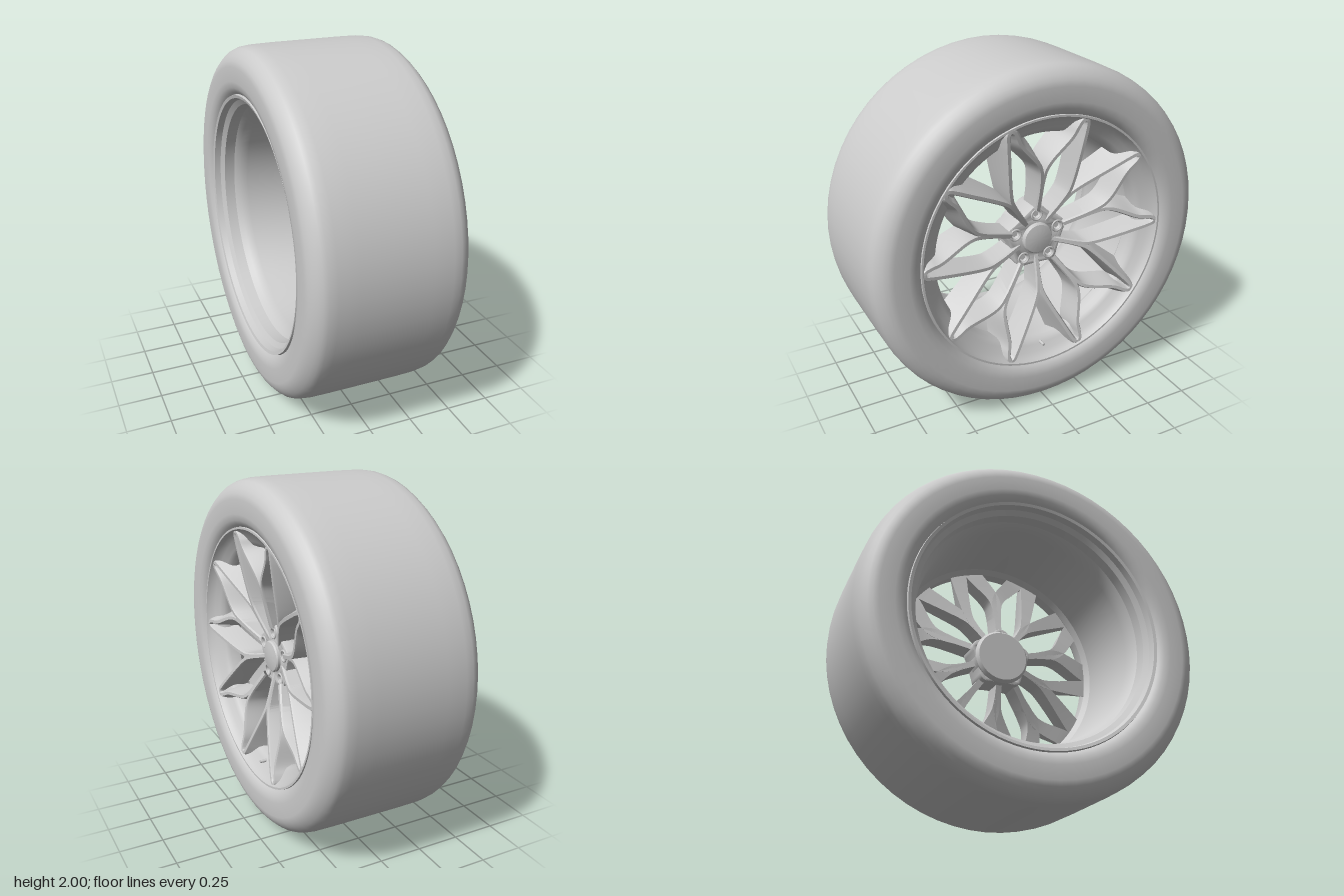
import * as THREE from 'three';
import { toCreasedNormals } from 'three/addons/utils/BufferGeometryUtils.js';

const material = new THREE.MeshStandardMaterial({ color: 0xcccccc, side: THREE.DoubleSide });
const rad = THREE.MathUtils.degToRad;
const polar = (r, deg) => new THREE.Vector2(r * Math.cos(rad(deg)), r * Math.sin(rad(deg)));

function add(parent, name, geometry) {
  const mesh = new THREE.Mesh(geometry, material);
  mesh.name = name;
  parent.add(mesh);
  return mesh;
}

// Revolve [radius, axial] pairs around the axle (local z)
function revolve(profile, segments) {
  const points = profile.map(([r, w]) => new THREE.Vector2(r, w));
  return new THREE.LatheGeometry(points, segments).rotateX(Math.PI / 2);
}

// Height of the dished spoke face at a given radius
const faceHeight = (r) => 0.255 + 0.29 * r - 0.11 * r * r;

// One spoke arm from the hub along a stem, past its fork, to the tip on the local x axis.
// side +1 / -1 chooses which of the two neighbouring stems it grows from.
function armGeometry(side, start, fork) {
  const path = new THREE.SplineCurve([
    polar(start, 17.4), polar(fork - 0.04, 17.2), polar(fork + 0.06, 13.7),
    new THREE.Vector2(0.6, 0.042), new THREE.Vector2(0.67, 0.028),
    new THREE.Vector2(0.706, 0.018), new THREE.Vector2(0.722, 0),
  ].map((p) => new THREE.Vector2(p.x, p.y * side)));
  const steps = 36, sides = 6, positions = [], index = [];
  for (let i = 0; i <= steps; i++) {
    const p = path.getPoint(i / steps), t = path.getTangent(i / steps);
    const r = p.length(), z = faceHeight(r), grow = Math.max(0, r - 0.25);
    const front = 0.015, depth = 0.14;
    const outer = 0.017 + 0.15 * grow, inner = 0.017 + 0.06 * grow;
    const plus = side > 0 ? outer : inner, minus = side > 0 ? inner : outer;
    const section = [
      [-front * 0.6, 0], [front * 0.6, 0], [front, -0.01],
      [plus, -depth], [-minus, -depth], [-front, -0.01],
    ];
    for (const [s, dz] of section) positions.push(p.x - t.y * s, p.y + t.x * s, z + dz);
  }
  for (let i = 0; i < steps; i++) {
    for (let j = 0; j < sides; j++) {
      const a = i * sides + j, b = i * sides + (j + 1) % sides;
      index.push(a, a + sides, b + sides, a, b + sides, b);
    }
  }
  const geometry = new THREE.BufferGeometry();
  geometry.setAttribute('position', new THREE.Float32BufferAttribute(positions, 3));
  geometry.setIndex(index);
  return toCreasedNormals(geometry, 0.5);
}

// Five-cornered hub plate with a hole at each corner for the nuts
function hubGeometry() {
  const shape = new THREE.Shape();
  for (let k = 0; k < 5; k++) {
    const corner = 90 + 72 * k;
    const a = polar(0.165, corner - 14), c = polar(0.205, corner), b = polar(0.165, corner + 14);
    if (k === 0) shape.moveTo(a.x, a.y);
    else shape.lineTo(a.x, a.y);
    shape.quadraticCurveTo(c.x, c.y, b.x, b.y);
    const h = polar(0.138, corner);
    shape.holes.push(new THREE.Path().absarc(h.x, h.y, 0.029, 0, Math.PI * 2, true));
  }
  return new THREE.ExtrudeGeometry(shape, {
    depth: 0.14, bevelSize: 0.008, bevelThickness: 0.008, bevelSegments: 2, curveSegments: 10,
  }).translate(0, 0, 0.135);
}

export function createModel() {
  const model = new THREE.Group();
  model.name = 'wheel';

  // Axle assembly: local z is the outer face, turned to face +x
  const wheel = new THREE.Group();
  wheel.name = 'wheelAssembly';
  wheel.rotation.y = Math.PI / 2;
  wheel.position.y = 1;
  model.add(wheel);

  // Tyre: mirrored shoulder and sidewall profile
  const half = [
    [0.735, 0.4], [0.75, 0.418], [0.775, 0.433], [0.81, 0.44], [0.89, 0.44], [0.92, 0.432],
    [0.945, 0.418], [0.965, 0.4], [0.982, 0.38], [0.992, 0.355], [0.998, 0.31], [1, 0.2],
  ];
  const tyre = [...half.map(([r, w]) => [r, -w]), [1, 0], ...half.slice().reverse()];
  add(wheel, 'tyre', revolve(tyre, 64));

  // Rim: front lip, dish, barrel and stepped rear flange
  const rim = [
    [0.74, 0.4], [0.738, 0.416], [0.727, 0.416], [0.716, 0.397], [0.69, 0.372], [0.655, 0.352],
    [0.632, 0.335], [0.62, 0.31], [0.62, 0.25], [0.645, 0.22], [0.645, -0.22], [0.655, -0.27],
    [0.675, -0.3], [0.68, -0.36], [0.708, -0.38], [0.718, -0.415], [0.735, -0.42], [0.74, -0.4],
  ];
  add(wheel, 'rim', toCreasedNormals(revolve(rim, 96), 0.5));

  // Spokes: ten tips, each fed by a long-forked and a short-forked stem
  const spokes = new THREE.Group();
  spokes.name = 'spokes';
  wheel.add(spokes);
  const arms = {};
  for (const side of [1, -1]) {
    arms[side] = { nutStem: armGeometry(side, 0.17, 0.4), mainStem: armGeometry(side, 0.105, 0.3) };
  }
  for (let k = 0; k < 10; k++) {
    for (const side of [1, -1]) {
      const towardNut = (k % 2 === 0) === (side === 1);
      const arm = add(spokes, 'spokeArm', arms[side][towardNut ? 'nutStem' : 'mainStem']);
      arm.rotation.z = rad(36 * k);
    }
  }

  // Hub plate, backing boss and domed centre cap
  add(wheel, 'hub', toCreasedNormals(hubGeometry(), 0.5));
  add(wheel, 'hubBoss', toCreasedNormals(
    revolve([[0, 0.1], [0.15, 0.1], [0.165, 0.12], [0.165, 0.225], [0, 0.225]], 40), 0.5));
  add(wheel, 'centreCap', toCreasedNormals(
    revolve([[0.092, 0.25], [0.09, 0.297], [0.083, 0.305], [0.05, 0.311], [0, 0.314]], 40), 0.6));

  // Wheel nuts
  const nut = new THREE.CylinderGeometry(0.017, 0.019, 0.05, 6).rotateX(Math.PI / 2);
  const collar = new THREE.TorusGeometry(0.031, 0.006, 8, 24);
  for (let k = 0; k < 5; k++) {
    const p = polar(0.138, 90 + 72 * k);
    add(wheel, 'wheelNut', toCreasedNormals(nut, 0.4)).position.set(p.x, p.y, 0.245);
    add(wheel, 'nutCollar', collar).position.set(p.x, p.y, 0.283);
  }

  // Tyre valve
  add(wheel, 'valve', new THREE.CylinderGeometry(0.008, 0.01, 0.05, 12).rotateX(Math.PI / 2))
    .position.set(0, -0.65, 0.36);

  return model;
}
